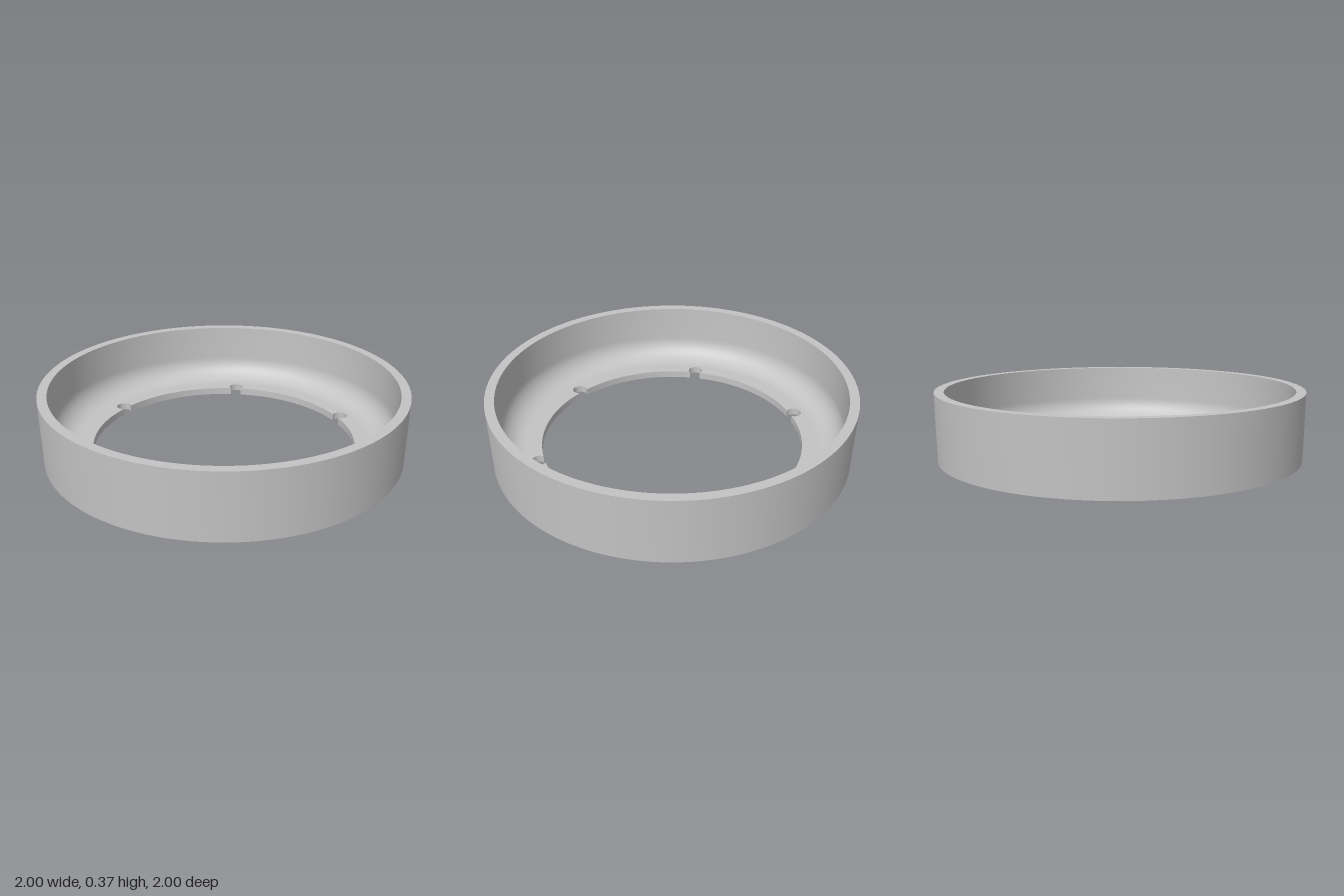
import * as THREE from 'three';
import { toCreasedNormals } from 'three/addons/utils/BufferGeometryUtils.js';

const HEIGHT = 0.37, FLOOR = 0.04;
const WALL_IN = 0.945, FILLET = 0.13, SEAM = WALL_IN - FILLET;
const HOLE = 0.725, NOTCH_R = 0.042, NOTCH_C = 0.753, NOTCHES = 6;

export function createModel() {
  const group = new THREE.Group();
  const grey = new THREE.MeshStandardMaterial({ color: 0xc4c4c4 });
  grey.name = 'light grey';

  const add = (name, geometry) => {
    const mesh = new THREE.Mesh(toCreasedNormals(geometry, 0.5), grey);
    mesh.name = name;
    group.add(mesh);
  };

  // Outer wall: slightly flared, with a rounded inside corner
  const profile = [
    [SEAM, 0], [0.992, 0], [1, HEIGHT], [WALL_IN + 0.003, HEIGHT],
  ].map(([r, y]) => new THREE.Vector2(r, y));
  for (let i = 0; i <= 14; i++) {
    const a = (i / 14) * Math.PI / 2;
    profile.push(new THREE.Vector2(
      SEAM + FILLET * Math.cos(a),
      FLOOR + FILLET * (1 - Math.sin(a)),
    ));
  }
  add('outerWall', new THREE.LatheGeometry(profile, 144));

  // Floor ring: large opening with round notches around its edge
  const step = (Math.PI * 2) / NOTCHES;
  const delta = Math.acos((HOLE ** 2 + NOTCH_C ** 2 - NOTCH_R ** 2) / (2 * HOLE * NOTCH_C));
  const phi = Math.atan2(HOLE * Math.sin(delta), HOLE * Math.cos(delta) - NOTCH_C);
  const ring = new THREE.Shape();
  const opening = new THREE.Path();
  for (let i = 0; i < NOTCHES; i++) {
    const a = i * step;
    ring.absarc(0, 0, SEAM, a, a + step, false);
    opening.absarc(NOTCH_C * Math.cos(a), NOTCH_C * Math.sin(a), NOTCH_R, a - phi, a + phi, false);
    opening.absarc(0, 0, HOLE, a + delta, a + step - delta, false);
  }
  ring.holes.push(opening);
  const floor = new THREE.ExtrudeGeometry(ring, { depth: FLOOR, bevelEnabled: false, curveSegments: 12 });
  floor.rotateX(-Math.PI / 2);
  add('notchedFloor', floor);

  return group;
}
